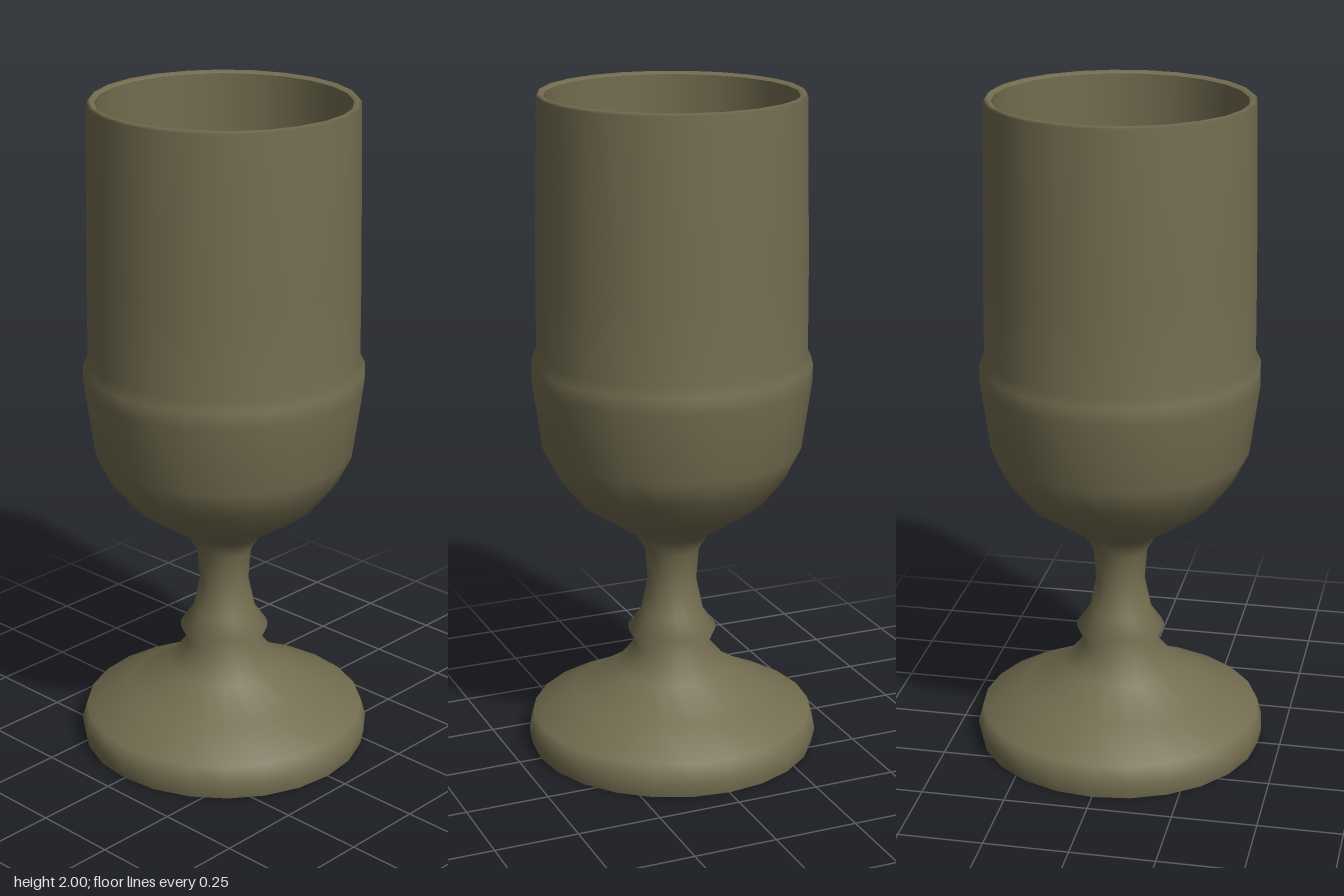
import * as THREE from 'three';

const SIDES = 24;

// Turned surface from [radius, height] pairs
function turned(name, profile, material) {
  const points = profile.map(([r, y]) => new THREE.Vector2(r, y));
  const mesh = new THREE.Mesh(new THREE.LatheGeometry(points, SIDES), material);
  mesh.name = name;
  return mesh;
}

export function createModel() {
  const group = new THREE.Group();
  group.name = 'goblet';
  const bronze = new THREE.MeshStandardMaterial({ color: 0x736d50 });
  bronze.name = 'dull bronze';

  // Foot, knop, stem, cup and rim share one continuous outer skin
  group.add(turned('outerBody', [
    [0.432, 0], [0.441, 0.045], [0.425, 0.1],        // foot edge
    [0.295, 0.165], [0.175, 0.24], [0.112, 0.315],   // foot slope
    [0.134, 0.365], [0.095, 0.42],                   // knop
    [0.074, 0.52], [0.082, 0.62], [0.115, 0.675],    // stem
    [0.28, 0.785], [0.345, 0.865], [0.386, 0.95],    // cup base
    [0.415, 1.16], [0.415, 1.21], [0.4, 1.24],       // raised band
    [0.398, 1.5], [0.388, 1.992], [0.38, 2], [0.366, 1.992], // wall and rim
  ], bronze));

  // Hollow of the cup, from the rim down to the centre
  group.add(turned('cupInterior', [
    [0.366, 1.992], [0.372, 1.5], [0.374, 1.2], [0.355, 0.97],
    [0.315, 0.885], [0.25, 0.815], [0.12, 0.75], [0, 0.73],
  ], bronze));

  // Flat underside of the foot
  const underside = new THREE.Mesh(new THREE.CircleGeometry(0.432, SIDES), bronze);
  underside.rotation.x = Math.PI / 2;
  underside.name = 'footUnderside';
  group.add(underside);

  return group;
}
